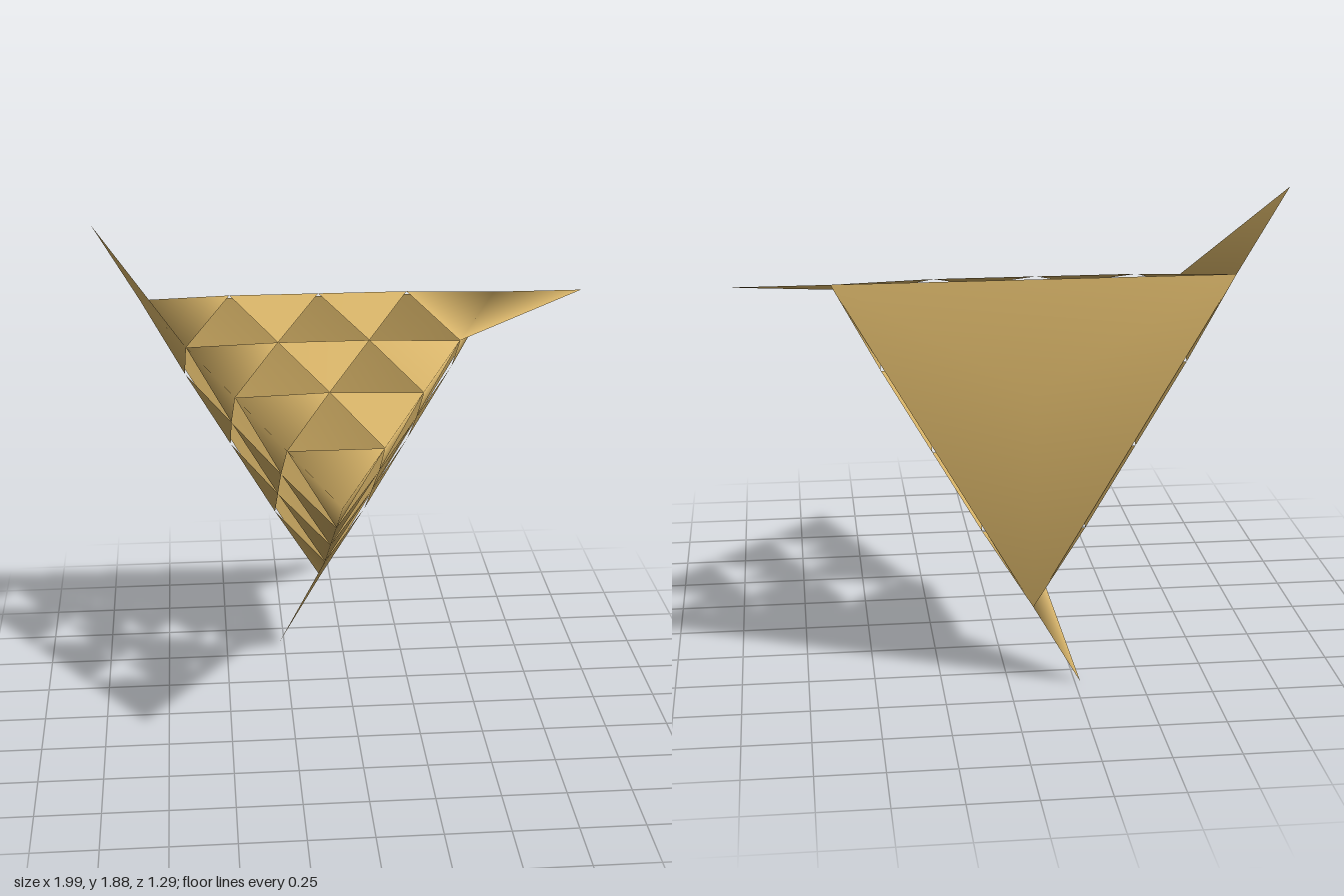
import * as THREE from 'three';

const ROWS = 4;
const CENTRE = new THREE.Vector2(-0.09, 1.157);
const RADIUS = 0.2093; // growth of the triangular rings per row
const DEPTH = 0.314; // distance between rows
const BULGE = 0.011; // outward bow of the nodes between corners

export function createModel() {
  const group = new THREE.Group();
  const material = new THREE.MeshStandardMaterial({ color: 0xd8b468, side: THREE.DoubleSide });

  const positions = [];
  const addPoint = (x, y, z) => positions.push(x, y, z) / 3 - 1;
  const rowZ = (n) => 0.645 - DEPTH * n;

  // corner directions: upper right-hand, upper left-hand, bottom
  const dirs = [150, 30, -90].map((d) => {
    const a = THREE.MathUtils.degToRad(d);
    return new THREE.Vector2(Math.cos(a), Math.sin(a));
  });
  const corner = (n, s) => CENTRE.clone().addScaledVector(dirs[s % 3], RADIUS * n);

  // triangular rings of nodes widening from the nose to the back
  const rings = [[addPoint(CENTRE.x, CENTRE.y, rowZ(0))]];
  for (let n = 1; n <= ROWS; n++) {
    const ring = [];
    for (let s = 0; s < 3; s++) {
      const outward = dirs[s].clone().add(dirs[(s + 1) % 3]).normalize();
      for (let k = 0; k < n; k++) {
        const p = corner(n, s).lerp(corner(n, s + 1), k / n);
        if (k > 0) p.addScaledVector(outward, BULGE);
        ring.push(addPoint(p.x, p.y, rowZ(n)));
      }
    }
    rings.push(ring);
  }
  const node = (n, s, k) => (n === 0 ? rings[0][0] : rings[n][(s * n + k) % (3 * n)]);

  const parts = { topSail: [], leftSail: [], rightSail: [], fins: [], backPanel: [] };
  const sails = [parts.topSail, parts.leftSail, parts.rightSail];
  const backCentre = addPoint(CENTRE.x, CENTRE.y, -0.645);

  for (let s = 0; s < 3; s++) {
    // upright tiles with open triangles between them
    for (let n = 0; n < ROWS; n++) {
      for (let k = 0; k <= n; k++) {
        sails[s].push(node(n, s, k), node(n + 1, s, k + 1), node(n + 1, s, k));
      }
    }
    // pinwheel fin carrying the back edge one tile further
    const end = corner(ROWS, s + 1);
    const tip = end.clone().addScaledVector(end.clone().sub(corner(ROWS, s)), 1 / ROWS);
    const tipIndex = addPoint(tip.x, tip.y, rowZ(ROWS));
    parts.fins.push(node(ROWS - 1, s, ROWS - 1), tipIndex, node(ROWS, s, ROWS));
    // shallow domed back
    parts.backPanel.push(node(ROWS, s, 0), node(ROWS, s, ROWS), backCentre);
  }

  // smooth normals shared by all parts
  const whole = new THREE.BufferGeometry();
  whole.setAttribute('position', new THREE.Float32BufferAttribute(positions, 3));
  whole.setIndex(Object.values(parts).flat());
  whole.computeVertexNormals();

  for (const [name, index] of Object.entries(parts)) {
    const geometry = whole.clone();
    geometry.setIndex(index);
    const mesh = new THREE.Mesh(geometry.toNonIndexed(), material);
    mesh.name = name;
    group.add(mesh);
  }
  return group;
}
